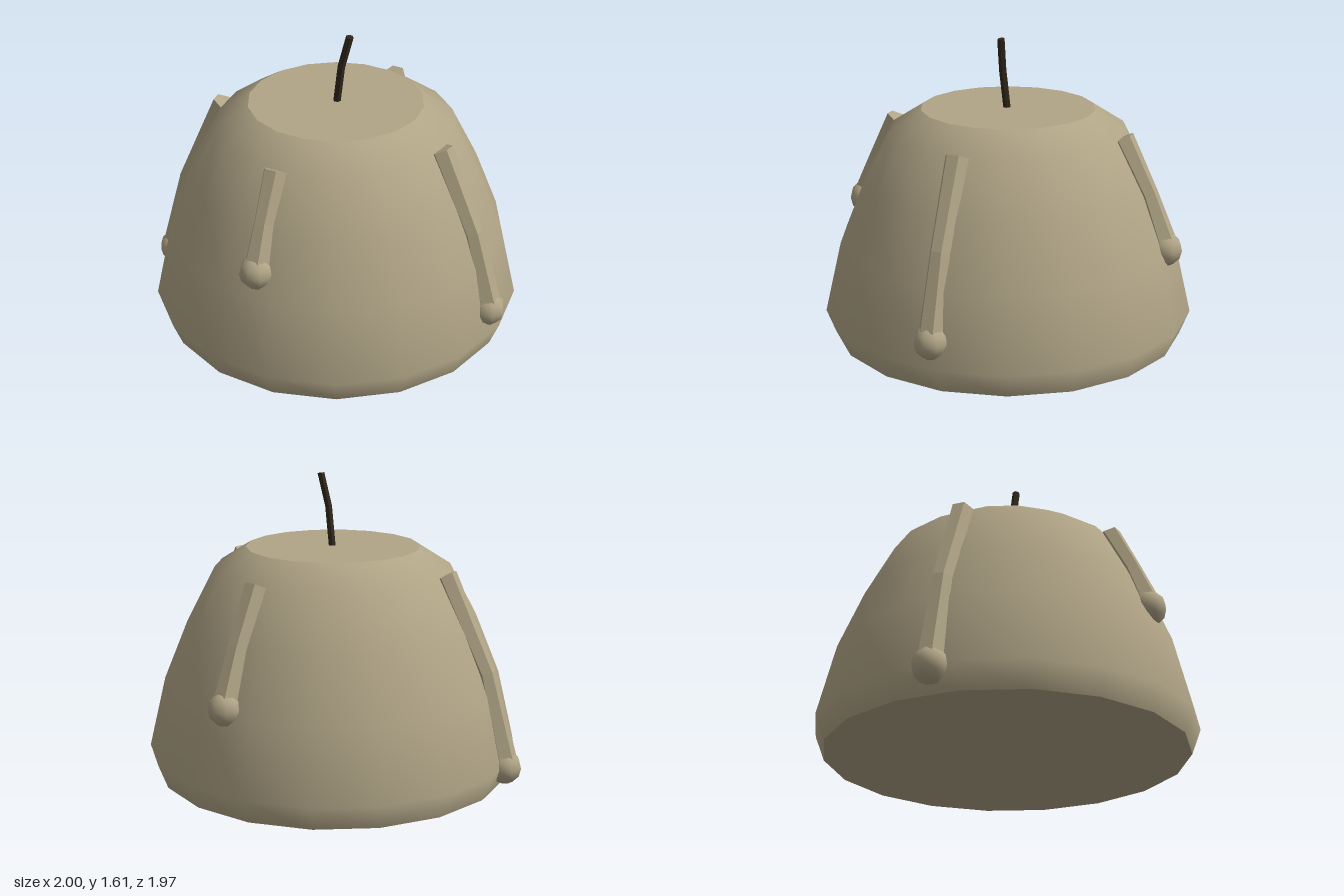
import * as THREE from 'three';

const wax = new THREE.MeshStandardMaterial({ color: 0xb0a486 });
wax.name = 'wax';
const char = new THREE.MeshStandardMaterial({ color: 0x30271a });
char.name = 'charredWick';

const SIDES = 18;
// Body outline as [radius, height], bottom to top
const PROFILE = [[0.95, 0], [1, 0.13], [0.91, 0.51], [0.78, 0.83], [0.63, 1.12], [0.465, 1.225]];

function radiusAt(y) {
  for (let i = 1; i < PROFILE.length; i++) {
    const [r0, y0] = PROFILE[i - 1], [r1, y1] = PROFILE[i];
    if (y <= y1) return r0 + (r1 - r0) * (y - y0) / (y1 - y0);
  }
  return PROFILE.at(-1)[0];
}

function mesh(name, geometry, material) {
  const m = new THREE.Mesh(geometry, material);
  m.name = name;
  return m;
}

// Six-sided run hugging the body, slimmer in the middle, facing local +z
function runGeometry(top, bottom) {
  const geo = new THREE.CylinderGeometry(1, 1, 1, 6, 2, false, Math.PI / 6);
  const stations = [0, 0.5, 1].map((t) => {
    const y = bottom + (top - bottom) * t;
    return { y, r: radiusAt(y) - (t === 0 ? 0.01 : 0), size: [0.07, 0.054, 0.064][t * 2] };
  });
  const pos = geo.attributes.position;
  for (let i = 0; i < pos.count; i++) {
    const k = Math.round((pos.getY(i) + 0.5) * 2);
    const s = stations[k];
    const a = stations[Math.max(0, k - 1)], b = stations[Math.min(2, k + 1)];
    const len = Math.hypot(b.y - a.y, b.r - a.r);
    const ty = (b.y - a.y) / len, tr = (b.r - a.r) / len;
    const out = pos.getZ(i) * s.size;
    pos.setXYZ(i, pos.getX(i) * s.size, s.y - tr * out, s.r + ty * out);
  }
  const flat = geo.toNonIndexed();
  flat.computeVertexNormals();
  return flat;
}

function drip(name, degrees, bottom) {
  const g = new THREE.Group();
  g.name = name;
  g.add(mesh('dripRun', runGeometry(1.115, bottom), wax));
  const bead = mesh('dripBead', new THREE.SphereGeometry(0.09, 8, 6), wax);
  bead.position.set(0, bottom, radiusAt(bottom) - 0.015);
  g.add(bead);
  g.rotation.y = THREE.MathUtils.degToRad(degrees);
  return g;
}

export function createModel() {
  const model = new THREE.Group();
  model.name = 'candle';

  // Body with flat top and base
  const side = new THREE.LatheGeometry(PROFILE.map(([r, y]) => new THREE.Vector2(r, y)), SIDES);
  side.rotateY(Math.PI / 2);
  model.add(mesh('body', side, wax));
  const top = mesh('top', new THREE.CircleGeometry(0.465, SIDES).rotateX(-Math.PI / 2), wax);
  top.position.y = 1.225;
  const base = mesh('base', new THREE.CircleGeometry(0.95, SIDES).rotateX(Math.PI / 2), wax);
  model.add(top, base);

  // Wax drips around the side
  model.add(
    drip('frontDrip', 21.8, 0.64),
    drip('leftDrip', 107, 0.26),
    drip('backDrip', 199, 0.54),
    drip('rightDrip', -58, 0.125),
  );

  // Bent wick
  const wick = new THREE.CylinderGeometry(0.02, 0.02, 1, 6, 2);
  const bends = [[0.005, 1.2, 0], [0.043, 1.43, 0], [0.083, 1.605, -0.022]];
  const pos = wick.attributes.position;
  for (let i = 0; i < pos.count; i++) {
    const [x, y, z] = bends[Math.round((pos.getY(i) + 0.5) * 2)];
    pos.setXYZ(i, pos.getX(i) + x, y - pos.getX(i) * 0.2, pos.getZ(i) + z);
  }
  const wickFlat = wick.toNonIndexed();
  wickFlat.computeVertexNormals();
  model.add(mesh('wick', wickFlat, char));

  return model;
}
